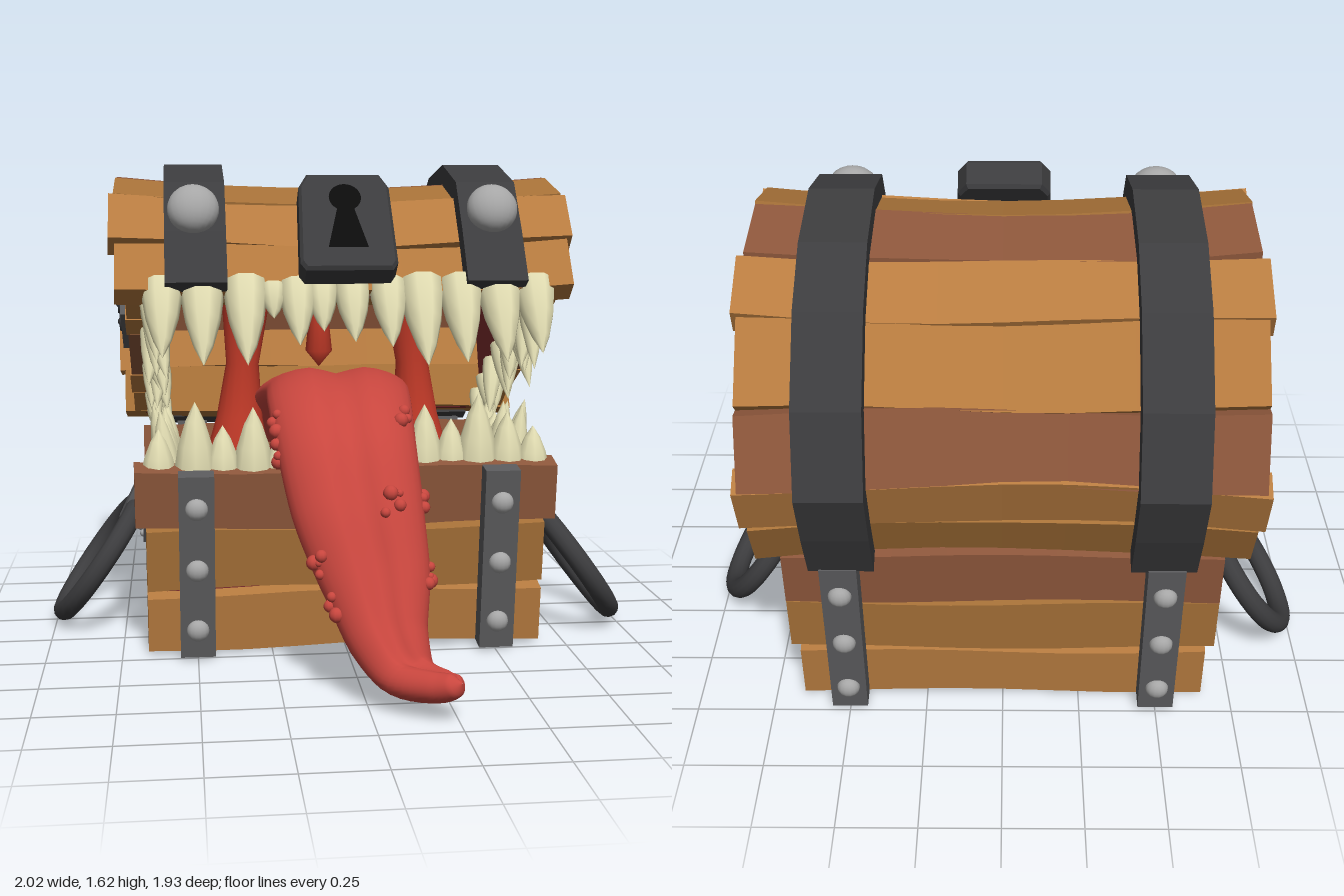
import * as THREE from 'three';

const mat = (color, flat = false, side = THREE.FrontSide) =>
  new THREE.MeshStandardMaterial({ color, flatShading: flat, side });
const woods = [0xb87c40, 0x8f583c, 0xa87238, 0xb57a3e].map((c) => mat(c, true));
const darkWood = mat(0x75502a, true);
const iron = mat(0x3c3c3e, true), steel = mat(0x5c5c5e, true);
const ironSmooth = mat(0x3c3c3e), stud = mat(0xa6a6a6), black = mat(0x0c0c0c);
const bone = mat(0xe4dfb4), tongueRed = mat(0xc8463e), flesh = mat(0x7c2c2c, true, THREE.DoubleSide);
const strandRed = mat(0xc23a28);

function add(parent, name, geo, material, x = 0, y = 0, z = 0) {
  const m = new THREE.Mesh(geo, material);
  m.name = name;
  m.position.set(x, y, z);
  parent.add(m);
  return m;
}
const box = (w, h, d) => new THREE.BoxGeometry(w, h, d);

// Wavy plank along x, outer face on +z; sag pulls its middle inward
function plankGeo(w, h, d, seed, sag = 0) {
  const g = new THREE.BoxGeometry(w, h, d, 8, 1, 1), p = g.attributes.position;
  for (let i = 0; i < p.count; i++) {
    const x = p.getX(i), y = p.getY(i), z = p.getZ(i);
    const outer = z > 0 ? 1 : 0;
    const wave = 0.009 * Math.sin(x * 5 + seed * 2.3 + (y > 0 ? 1 : 0));
    const end = Math.abs(x) > w / 2 - 1e-4 ? 0.012 * Math.sin(seed * 4.1) : 0;
    p.setXYZ(i, x + Math.sign(x) * (end - outer * 0.004), y * (outer ? 0.95 : 1) + wave,
      z - sag * Math.cos((Math.PI * x) / w));
  }
  return g;
}

// Curved tooth, base at the origin, pointing up
function tooth(parent, x, y, z, r, len, tiltX = 0, tiltZ = 0) {
  const prof = [[1, -0.08], [1, 0.12], [0.82, 0.42], [0.45, 0.75], [0, 1]]
    .map(([a, b]) => new THREE.Vector2(a * r, b * len));
  const m = add(parent, 'tooth', new THREE.LatheGeometry(prof, 9), bone, x, y, z);
  m.rotation.set(tiltX, 0, tiltZ);
  return m;
}

// Extrude a (z, y) outline along x, centred
function extrudeX(shape, width) {
  return new THREE.ExtrudeGeometry(shape, { depth: width, bevelEnabled: false })
    .translate(0, 0, -width / 2).rotateY(-Math.PI / 2);
}

// Half outline of the lid arch as [z, y]
const half = [[0.585, 0], [0.57, 0.18], [0.54, 0.37], [0.36, 0.54], [0.11, 0.635]];
const arch = [...half, ...half.map(([z, y]) => [-z, y]).reverse()];
const scaled = (s) => arch.map(([z, y]) => new THREE.Vector2(z * s, y * s));
const archBand = (outer, inner, width) =>
  extrudeX(new THREE.Shape([...scaled(outer), ...scaled(inner).reverse()]), width);

function makeLid() {
  const lid = new THREE.Group();
  lid.name = 'lid';
  lid.position.set(0, 0.93, -0.27);
  lid.rotation.x = -Math.PI / 6;

  // Staves
  const tones = [3, 0, 2, 1, 0, 3, 1, 0, 2];
  for (let i = 0; i < arch.length - 1; i++) {
    const [z0, y0] = arch[i], [z1, y1] = arch[i + 1];
    const len = Math.hypot(z1 - z0, y1 - y0), nz = (y1 - y0) / len, ny = (z0 - z1) / len;
    const m = add(lid, 'lidStave', plankGeo(1.53, len * 0.98, 0.09, i + 1, 0.04), woods[tones[i]],
      0, (y0 + y1) / 2 - ny * 0.045, (z0 + z1) / 2 - nz * 0.045);
    m.rotation.x = Math.atan2(-ny, nz);
  }
  add(lid, 'lidLining', archBand(0.88, 0.85, 1.36), flesh);

  // End panels with bolted plates
  const cuts = [[-0.5, 0.26], [-0.33, 0.48], [-0.13, 0.565], [0.2, 0.54], [0.35, 0.465], [0.5, 0.26]];
  for (const s of [-1, 1]) {
    for (let i = 0; i < cuts.length - 1; i++) {
      const [a, ha] = cuts[i], [b, hb] = cuts[i + 1];
      const sh = new THREE.Shape([[a + 0.004, 0.01 * (i % 2)], [b - 0.004, 0.012 * ((i + 1) % 2)],
        [b - 0.004, hb], [a + 0.004, ha]].map((q) => new THREE.Vector2(...q)));
      add(lid, 'lidEndPlank', extrudeX(sh, 0.06), woods[i === 2 ? 1 : i % 2 ? 0 : 3],
        s * (0.69 + 0.006 * (i % 2)));
    }
    add(lid, 'lidEndLining', extrudeX(new THREE.Shape(scaled(0.87)), 0.02), flesh, s * 0.65);
    add(lid, 'boltPlate', box(0.03, 0.15, 0.29), steel, s * 0.735, 0.19, 0);
    for (const z of [-0.075, 0.075]) {
      add(lid, 'bolt', new THREE.TorusGeometry(0.028, 0.01, 6, 14).rotateY(Math.PI / 2), ironSmooth, s * 0.752, 0.19, z);
      add(lid, 'boltCore', new THREE.SphereGeometry(0.018, 10, 8), ironSmooth, s * 0.75, 0.19, z);
    }
    // Iron straps and their domed studs
    add(lid, 'lidStrap', archBand(1.065, 0.95, 0.2), iron, s * 0.49);
    add(lid, 'lidStud', new THREE.SphereGeometry(0.085, 20, 14), stud, s * 0.495, 0.27, 0.615).scale.z = 0.75;
  }

  // Lock with keyhole
  const lock = new THREE.Group();
  lock.name = 'lock';
  lock.position.set(0, 0.02, 0.585);
  lock.rotation.x = -0.11;
  lid.add(lock);
  const plate = new THREE.Shape([[-0.135, 0], [0.135, 0], [0.148, 0.02], [0.14, 0.31], [0.115, 0.355],
    [-0.115, 0.355], [-0.14, 0.31], [-0.148, 0.02]].map((q) => new THREE.Vector2(...q)));
  add(lock, 'lockBody', new THREE.ExtrudeGeometry(plate,
    { depth: 0.08, bevelSize: 0.01, bevelThickness: 0.012, bevelSegments: 1 }), iron);
  const hole = new THREE.Shape();
  hole.moveTo(-0.065, 0.07).lineTo(0.065, 0.07).lineTo(0.028, 0.22);
  hole.absarc(0, 0.265, 0.053, -1, Math.PI + 1, false);
  hole.lineTo(-0.065, 0.07);
  add(lock, 'keyhole', new THREE.ShapeGeometry(hole), black, 0, 0, 0.094);

  // Upper teeth: front row, then both sides
  const row = [[-0.6, 0.25], [-0.47, 0.28], [-0.33, 0.28], [-0.24, 0.11], [-0.16, 0.21], [-0.08, 0.16],
    [0.02, 0.2], [0.14, 0.22], [0.25, 0.29], [0.38, 0.28], [0.51, 0.28], [0.63, 0.25]];
  for (const [x, l] of row) tooth(lid, x, 0.02, 0.53, 0.028 + l * 0.15, l, Math.PI - 0.08, 0);
  for (const s of [-1, 1])
    for (let i = 0; i < 14; i++) {
      const l = 0.25 - i * 0.009 + 0.025 * Math.sin(i * 2.4 + s);
      tooth(lid, s * (0.63 + 0.015 * Math.sin(i * 3)), 0.02, 0.47 - i * 0.073, 0.045 - i * 0.001, l,
        Math.PI, s * (0.05 + 0.12 * Math.sin(i * 1.7)));
    }
  return lid;
}

function makeBody() {
  const body = new THREE.Group();
  body.name = 'chestBody';
  const cz = -0.235, lean = 0.124;
  add(body, 'floor', box(1.27, 0.04, 0.8), darkWood, 0, 0.035, cz);
  add(body, 'mouthFloor', box(1.2, 0.5, 0.8), flesh, 0, 0.3, cz);

  // Front and back walls with studded straps
  for (const s of [1, -1]) {
    const wall = new THREE.Group();
    wall.name = s > 0 ? 'frontWall' : 'backWall';
    wall.position.set(0, 0, cz + s * 0.435);
    wall.rotation.set(s * lean, s > 0 ? 0 : Math.PI, 0);
    body.add(wall);
    [[0.108, 0.2, 1.34, 0], [0.325, 0.21, 1.35, 2], [0.535, 0.205, 1.38, 1]].forEach(([y, h, w, c], i) =>
      add(wall, 'wallPlank', plankGeo(w, h, 0.1, i + 2 + s), woods[c], 0, y, -0.05));
    for (const k of [-1, 1]) {
      add(wall, 'bodyStrap', box(0.115, 0.625, 0.07), steel, k * 0.5, 0.327, 0.035);
      for (const y of [0.11, 0.32, 0.53])
        add(wall, 'rivet', new THREE.SphereGeometry(0.037, 14, 10), stud, k * 0.5, y, 0.07).scale.z = 0.8;
    }
  }

  // Side walls, ring handles
  for (const s of [-1, 1]) {
    [[0.075, 0.14, 0.74, 0], [0.23, 0.15, 0.77, 1], [0.39, 0.15, 0.8, 2], [0.55, 0.15, 0.86, 1]].forEach(([y, h, w, c], i) => {
      const m = add(body, 'sidePlank', plankGeo(w, h, 0.08, i * 2 + s), woods[c], s * 0.61, y, cz);
      m.rotation.y = (s * Math.PI) / 2;
    });
    const pz = s > 0 ? -0.17 : -0.31, rz = s > 0 ? -0.08 : -0.255;
    add(body, 'handlePlate', box(0.04, 0.15, 0.58), iron, s * 0.66, 0.405, pz);
    for (const dz of [-0.26, 0.26]) for (const dy of [-0.05, 0.05])
      add(body, 'plateRivet', new THREE.SphereGeometry(0.013, 8, 6), stud, s * 0.68, 0.405 + dy, pz + dz);
    add(body, 'handleClamp', box(0.09, 0.14, 0.11), steel, s * 0.7, 0.41, rz).rotation.z = s * 0.45;
    add(body, 'ringHandle', new THREE.TorusGeometry(0.23, 0.036, 12, 40).rotateY(Math.PI / 2),
      ironSmooth, s * 0.842, 0.226, rz).rotation.z = s * 0.62;
  }

  // Lower teeth: front row, then both sides
  const row = [[-0.62, 0.16], [-0.5, 0.25], [-0.41, 0.17], [-0.31, 0.23], [-0.22, 0.14],
    [0.26, 0.23], [0.35, 0.18], [0.44, 0.26], [0.54, 0.2], [0.63, 0.15]];
  for (const [x, l] of row) tooth(body, x, 0.6, 0.19, 0.035 + l * 0.14, l, 0.06, 0);
  for (const s of [-1, 1])
    for (let i = 0; i < 9; i++)
      tooth(body, s * 0.59, 0.59, 0.1 - i * 0.075, 0.045, 0.22 - i * 0.011 + 0.03 * Math.sin(i * 2.2),
        0.08 * Math.sin(i * 2), -s * (0.12 + 0.1 * Math.sin(i * 1.9)));
  return body;
}

// Tongue lofted along a curve, with a centre groove and warts
function makeTongue() {
  const g = new THREE.Group();
  g.name = 'tongue';
  const stations = [ // x, y, z, half width, half thickness
    [0, 0.62, -0.62, 0.3, 0.08], [0, 0.76, -0.42, 0.28, 0.09], [0, 0.835, -0.12, 0.25, 0.09],
    [-0.02, 0.83, 0.17, 0.24, 0.1], [-0.02, 0.72, 0.38, 0.225, 0.12], [0, 0.55, 0.51, 0.21, 0.12],
    [0.04, 0.36, 0.62, 0.175, 0.105], [0.07, 0.19, 0.725, 0.125, 0.09], [0.12, 0.105, 0.81, 0.09, 0.065],
    [0.2, 0.1, 0.9, 0.06, 0.05], [0.235, 0.115, 0.94, 0.04, 0.035], [0.25, 0.125, 0.955, 0.001, 0.001]];
  const path = new THREE.CatmullRomCurve3(stations.map((s) => new THREE.Vector3(s[0], s[1], s[2])));
  const size = new THREE.CatmullRomCurve3(stations.map((s) => new THREE.Vector3(s[3], s[4], 0)));
  const surf = (t, a) => {
    const T = path.getTangent(t), X = new THREE.Vector3(1, 0, 0).addScaledVector(T, -T.x).normalize();
    const N = T.clone().cross(X), s = size.getPoint(t), c = Math.cos(a);
    const groove = Math.sin(a) > 0 ? 1 - 0.35 * Math.exp(-((c / 0.25) ** 2)) : 1;
    return path.getPoint(t).addScaledVector(X, s.x * c).addScaledVector(N, s.y * Math.sin(a) * groove);
  };
  const rows = 66, sides = 32, pos = [], idx = [];
  for (let i = 0; i <= rows; i++)
    for (let j = 0; j < sides; j++) {
      pos.push(...surf(i / rows, (j / sides) * Math.PI * 2).toArray());
      if (i === rows) continue;
      const a = i * sides + j, b = i * sides + ((j + 1) % sides);
      idx.push(a, b, a + sides, b, b + sides, a + sides);
    }
  const geo = new THREE.BufferGeometry();
  geo.setAttribute('position', new THREE.Float32BufferAttribute(pos, 3));
  geo.setIndex(idx);
  geo.computeVertexNormals();
  add(g, 'tongueBody', geo, tongueRed);
  const clusters = [[0.33, 2.9], [0.37, 3.1], [0.52, 2.7], [0.47, 1.1], [0.46, 0.1], [0.56, 0.2], [0.58, 2.9], [0.34, 0.6]];
  clusters.forEach(([t, a], k) => {
    for (let i = 0; i < 4; i++) {
      const p = surf(t + 0.013 * Math.cos(i * 2 + k), a + 0.16 * Math.sin(i * 2.5 + k));
      add(g, 'wart', new THREE.SphereGeometry(0.024 - i * 0.004, 10, 8), tongueRed, p.x, p.y, p.z);
    }
  });
  return g;
}

export function createModel() {
  const model = new THREE.Group();
  model.name = 'chestMonster';
  model.add(makeBody(), makeLid(), makeTongue());

  // Flesh strands at the back of the mouth
  const waist = [[0.13, 0], [0.085, 0.2], [0.06, 0.4], [0.09, 0.65], [0.15, 0.9]].map((q) => new THREE.Vector2(...q));
  for (const s of [-1, 1])
    add(model, 'fleshStrand', new THREE.LatheGeometry(waist, 16), strandRed, s * 0.34, 0.5, -0.42).rotation.z = s * 0.06;
  const drop = [[0, 0], [0.05, 0.06], [0.035, 0.2], [0.03, 0.55]].map((q) => new THREE.Vector2(...q));
  add(model, 'uvula', new THREE.LatheGeometry(drop, 14), strandRed, -0.03, 0.88, -0.45);
  return model;
}
